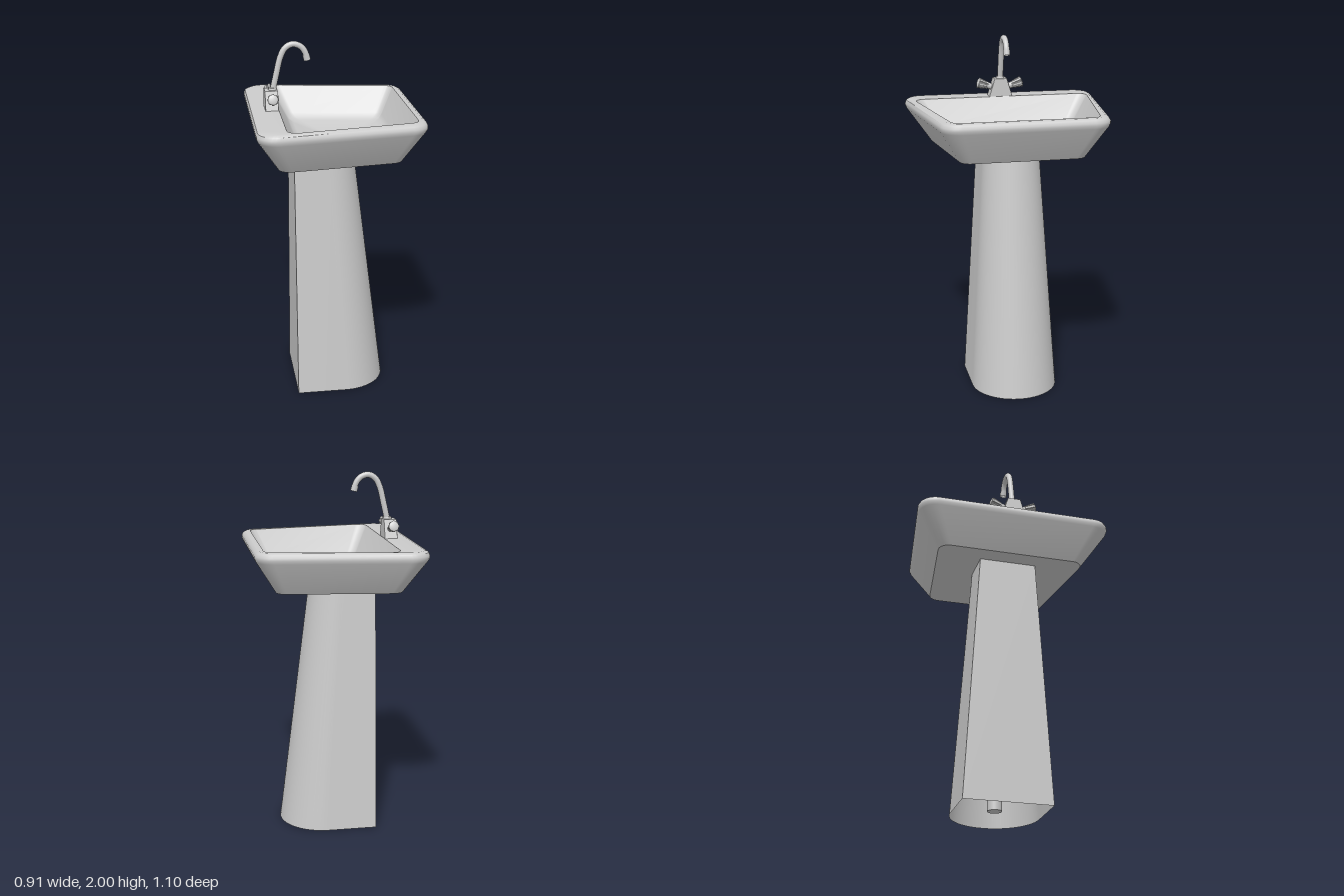
import * as THREE from 'three';
import { toCreasedNormals } from 'three/addons/utils/BufferGeometryUtils.js';

const smooth = new THREE.MeshStandardMaterial({ color: 0xcccccc });
const thin = new THREE.MeshStandardMaterial({ color: 0xcccccc, side: THREE.DoubleSide });
const DRAIN_X = 0.055, TAP_X = -0.335;

function part(name, geometry, material = smooth) {
  const mesh = new THREE.Mesh(geometry, material);
  mesh.name = name;
  return mesh;
}

// Trapezoid outline with rounded corners, wider at the tap side, at height y
function roundedTrapezoid(xL, xR, zL, zR, r, y, steps = 8) {
  const P = [[xR, -zR], [xR, zR], [xL, zL], [xL, -zL]].map(p => new THREE.Vector2(...p));
  const normal = i => {
    const d = P[(i + 1) % 4].clone().sub(P[i % 4]).normalize();
    return new THREE.Vector2(d.y, -d.x);
  };
  const ring = [];
  for (let i = 0; i < 4; i++) {
    const n1 = normal(i + 3), n2 = normal(i);
    const c = P[i].clone().addScaledVector(n1.clone().add(n2), -r / (1 + n1.dot(n2)));
    const a1 = n1.angle();
    const turn = Math.acos(n1.dot(n2));
    for (let k = 0; k <= steps; k++) {
      const a = a1 + turn * k / steps;
      ring.push([c.x + r * Math.cos(a), y, c.y + r * Math.sin(a)]);
    }
  }
  return ring;
}

// Skin through closed rings with equal point counts
function loft(rings, crease) {
  const n = rings[0].length, index = [];
  for (let i = 0; i < rings.length - 1; i++) {
    for (let j = 0; j < n; j++) {
      const a = i * n + j, b = i * n + (j + 1) % n;
      index.push(a, a + n, b, b, a + n, b + n);
    }
  }
  const g = new THREE.BufferGeometry();
  g.setAttribute('position', new THREE.Float32BufferAttribute(rings.flat(2), 3));
  g.setIndex(index);
  return toCreasedNormals(g, crease);
}

function makeBasin() {
  // Underside, sloping sides, rounded lip, then the bowl: [xL, xR, zL, zR, radius, y]
  const rings = [
    [-0.335, 0.335, 0.42, 0.335, 0.06, 1.4],
    [-0.446, 0.446, 0.555, 0.438, 0.1, 1.58],
    [-0.454, 0.454, 0.562, 0.444, 0.1, 1.598],
    [-0.454, 0.454, 0.562, 0.444, 0.1, 1.612],
    [-0.446, 0.446, 0.554, 0.436, 0.095, 1.627],
    [-0.425, 0.43, 0.535, 0.42, 0.08, 1.636],
    [-0.298, 0.405, 0.506, 0.394, 0.05, 1.636],
    [-0.222, 0.332, 0.405, 0.322, 0.04, 1.495],
    [-0.205, 0.315, 0.385, 0.306, 0.04, 1.472],
    [-0.18, 0.29, 0.36, 0.284, 0.04, 1.46],
  ].map(a => roundedTrapezoid(...a));
  // Floor falls to the round drain opening
  const last = rings[rings.length - 1];
  rings.push(last.map(([x, , z]) => {
    const a = Math.atan2(z, x - DRAIN_X);
    return [DRAIN_X + 0.045 * Math.cos(a), 1.435, 0.045 * Math.sin(a)];
  }));
  rings.unshift(rings[0].map(() => [0, 1.4, 0]));
  return part('basin', loft(rings, 0.62));
}

function makePedestal() {
  // D-shaped section: flat back, straight sides, half-round front
  const section = (r, cx, y) => {
    const ring = [[-0.23, y, -r]];
    for (let k = 0; k <= 32; k++) {
      const a = -Math.PI / 2 + Math.PI * k / 32;
      ring.push([cx + r * Math.cos(a), y, r * Math.sin(a)]);
    }
    ring.push([-0.23, y, r]);
    return ring;
  };
  return part('pedestal', loft([section(0.245, 0.045, 0), section(0.16, -0.045, 1.4)], 0.6), thin);
}

function makeDrain() {
  const drain = new THREE.Group();
  drain.name = 'drain';
  const profile = [[0.036, 1.415], [0.036, 1.437], [0.04, 1.444], [0.046, 1.445], [0.06, 1.44], [0.06, 1.43]]
    .map(p => new THREE.Vector2(...p));
  const flange = part('drainFlange', toCreasedNormals(new THREE.LatheGeometry(profile, 40), 0.6), thin);
  const plug = part('drainPlug', new THREE.CylinderGeometry(0.031, 0.031, 0.02, 32));
  plug.position.y = 1.428;
  const pipe = part('drainPipe', new THREE.CylinderGeometry(0.04, 0.04, 1.39, 32));
  pipe.position.y = 0.725;
  drain.add(flange, plug, pipe);
  drain.position.x = DRAIN_X;
  return drain;
}

function makeHandle(side) {
  const handle = new THREE.Group();
  handle.name = side > 0 ? 'leftHandle' : 'rightHandle';
  const stem = part('handleStem', new THREE.CylinderGeometry(0.018, 0.018, 0.05, 24));
  stem.position.y = 0.01;
  // Flared grip with lengthwise grooves
  const g = new THREE.CylinderGeometry(0.031, 0.02, 0.058, 64, 1);
  const pos = g.attributes.position;
  for (let i = 0; i < pos.count; i++) {
    const a = Math.atan2(pos.getZ(i), pos.getX(i));
    const k = Math.cos(a * 8) < -0.3 ? 0.82 : 1;
    pos.setX(i, pos.getX(i) * k);
    pos.setZ(i, pos.getZ(i) * k);
  }
  const grip = part('handleGrip', toCreasedNormals(g, 0.5));
  grip.position.y = 0.055;
  const cap = part('handleCap', new THREE.SphereGeometry(0.028, 32, 8, 0, Math.PI * 2, 0, Math.PI / 2));
  cap.scale.y = 0.3;
  cap.position.y = 0.084;
  handle.add(stem, grip, cap);
  handle.position.set(TAP_X, 1.688, side * 0.045);
  handle.rotation.x = side * (Math.PI / 2 - 0.3);
  return handle;
}

function makeTap() {
  const tap = new THREE.Group();
  tap.name = 'tap';
  // Wedge-shaped body
  const shape = new THREE.Shape([[-0.068, 0], [0.068, 0], [0.036, 0.104], [-0.036, 0.104]]
    .map(p => new THREE.Vector2(...p)));
  const g = new THREE.ExtrudeGeometry(shape, {
    depth: 0.064, bevelThickness: 0.004, bevelSize: 0.004, bevelOffset: -0.004, bevelSegments: 2,
  });
  g.translate(0, 0, -0.032).rotateY(Math.PI / 2);
  const body = part('tapBody', g);
  body.position.set(TAP_X, 1.634, 0);

  // Swan-neck spout with a nozzle ring at its end
  const path = new THREE.CatmullRomCurve3([
    [-0.328, 1.72], [-0.305, 1.82], [-0.28, 1.918], [-0.255, 1.963], [-0.215, 1.983],
    [-0.172, 1.97], [-0.147, 1.938], [-0.136, 1.896],
  ].map(([x, y]) => new THREE.Vector3(x, y, 0)));
  const spout = part('spout', new THREE.TubeGeometry(path, 60, 0.0165, 20), thin);
  const nozzle = part('nozzle', new THREE.CylinderGeometry(0.019, 0.019, 0.03, 24, 1, true), thin);
  nozzle.position.set(-0.139, 1.909, 0);
  nozzle.rotation.z = 0.25;
  const outlet = part('outlet', new THREE.CircleGeometry(0.019, 24), thin);
  outlet.position.y = 0.004;
  outlet.rotation.x = Math.PI / 2;
  nozzle.add(outlet);
  const collar = part('spoutCollar', new THREE.CylinderGeometry(0.021, 0.024, 0.014, 24));
  collar.position.set(-0.326, 1.743, 0);
  tap.add(body, spout, nozzle, collar, makeHandle(1), makeHandle(-1));
  return tap;
}

export function createModel() {
  const model = new THREE.Group();
  model.name = 'pedestalSink';
  model.add(makeBasin(), makePedestal(), makeDrain(), makeTap());
  return model;
}
